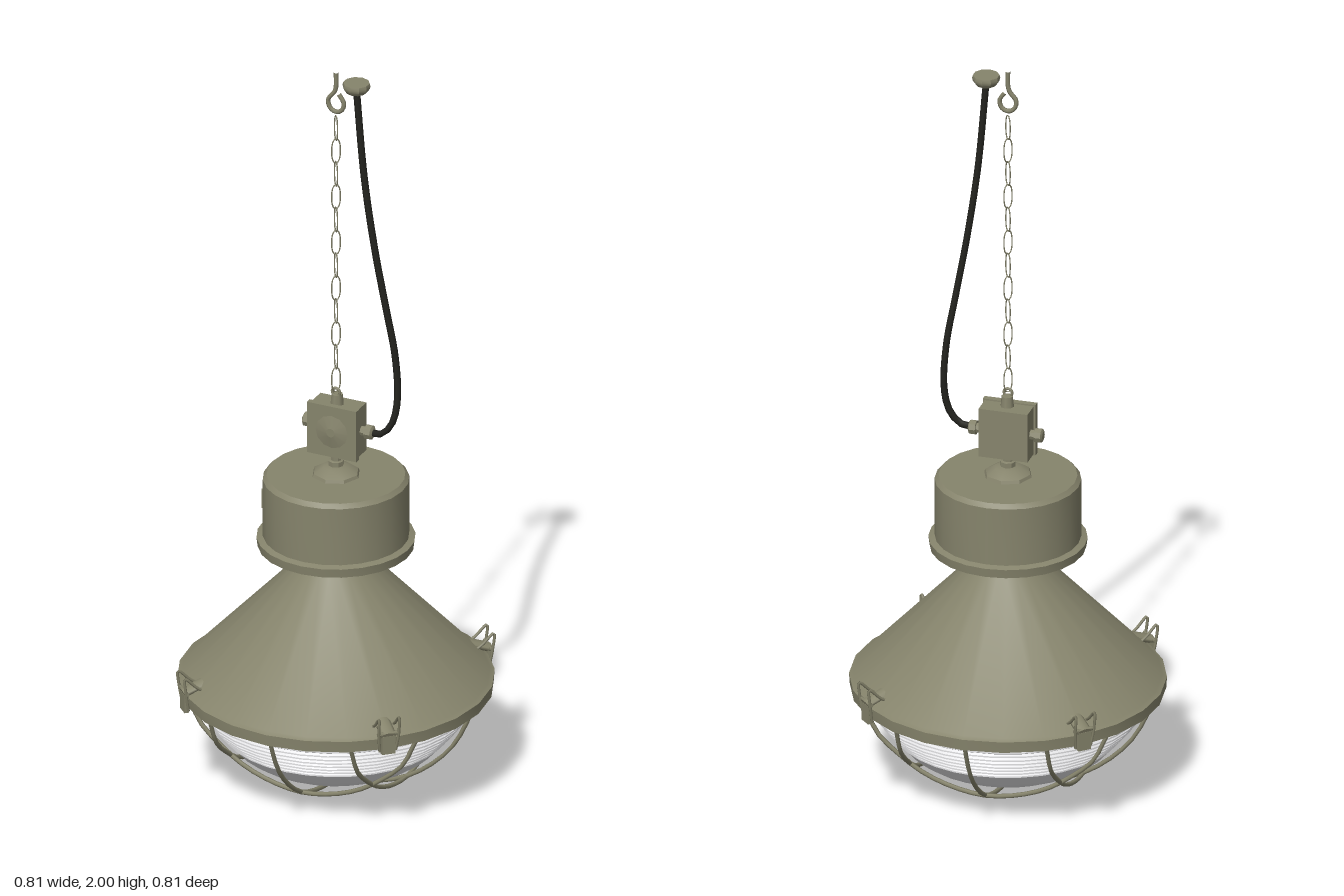
import * as THREE from 'three';
import { toCreasedNormals, mergeGeometries } from 'three/addons/utils/BufferGeometryUtils.js';

const V = (x, y, z) => new THREE.Vector3(x, y, z);

export function createModel() {
  const root = new THREE.Group();
  const mat = (name, color, side = THREE.FrontSide) => {
    const m = new THREE.MeshStandardMaterial({ color, side });
    m.name = name;
    return m;
  };
  const olive = mat('olive paint', 0x86846c);
  const oliveShell = olive.clone();
  oliveShell.side = THREE.DoubleSide;
  const glass = mat('frosted glass', 0xe4e4e6, THREE.DoubleSide);
  const black = mat('black rubber', 0x24241f);

  const add = (name, geo, material, parent = root, pos = [0, 0, 0]) => {
    const mesh = new THREE.Mesh(geo, material);
    mesh.name = name;
    mesh.position.set(...pos);
    parent.add(mesh);
    return mesh;
  };
  // Turned part from [radius, height] pairs, with sharp profile corners
  const turned = (pts, sides) => toCreasedNormals(
    new THREE.LatheGeometry(pts.map(p => new THREE.Vector2(...p)), sides), 0.5);
  const wire = (pts, r, sides = 6, closed = false, seg = 24) =>
    new THREE.TubeGeometry(new THREE.CatmullRomCurve3(pts, closed, 'centripetal'), seg, r, sides, closed);
  const box = (w, h, d) => new THREE.BoxGeometry(w, h, d);

  // Conical shade with neck and rim band
  add('shade', turned([
    [0.365, 0.272], [0.403, 0.272], [0.405, 0.302], [0.393, 0.308],
    [0.1, 0.618], [0.095, 0.625], [0.095, 0.69],
  ], 24), oliveShell);

  // Gear housing with flange and recessed underside
  add('gearHousing', turned([
    [0.09, 0.685], [0.135, 0.685], [0.135, 0.675], [0.155, 0.675], [0.155, 0.685],
    [0.175, 0.685], [0.175, 0.668], [0.2, 0.668], [0.203, 0.692], [0.187, 0.697],
    [0.187, 0.855], [0.177, 0.866], [0, 0.866],
  ], 24), oliveShell);
  const tag = add('housingLatch', box(0.012, 0.05, 0.008), olive, root, [-0.164, 0.8, 0.088]);
  tag.rotation.y = -1.07;

  // Swivel foot and stem under the junction box
  add('swivelFoot', turned([
    [0.064, 0.864], [0.06, 0.874], [0.034, 0.89], [0.02, 0.892], [0.02, 0.905],
    [0.014, 0.907], [0.014, 0.93], [0, 0.93],
  ], 8), olive);

  // Junction box with lid, dished cover and cable glands
  const junction = new THREE.Group();
  junction.name = 'junctionBox';
  junction.position.set(0, 0.995, -0.006);
  root.add(junction);
  add('boxBody', box(0.13, 0.134, 0.056), olive, junction, [0, 0, -0.01]);
  add('boxLid', box(0.14, 0.142, 0.016), olive, junction, [0, 0, 0.024]);
  const dish = add('lidDish', new THREE.CylinderGeometry(0.012, 0.05, 0.008, 12), olive, junction, [0, 0, 0.035]);
  dish.rotation.x = Math.PI / 2;
  for (const s of [-1, 1]) {
    const gland = add('cableGland', turned([
      [0.013, 0], [0.013, 0.015], [0.019, 0.015], [0.019, 0.032], [0.012, 0.036], [0, 0.036],
    ], 8), olive, junction, [s * 0.063, 0, -0.01]);
    gland.rotation.z = -s * Math.PI / 2;
  }
  add('topFitting', new THREE.CylinderGeometry(0.015, 0.018, 0.03, 8), olive, junction, [0, 0.08, 0]);
  add('topEye', new THREE.TorusGeometry(0.011, 0.004, 6, 12), olive, junction, [0, 0.102, 0.006]);

  // Suspension chain: slim links turned alternately by a quarter
  const chain = new THREE.Group();
  chain.name = 'chain';
  root.add(chain);
  const links = 12, from = 1.1, to = 1.875, pitch = (to - from) / links;
  for (let i = 0; i < links; i++) {
    const h = pitch / 2 + 0.003, w = 0.009;
    const link = add('chainLink', wire([
      V(w, -h * 0.7, 0), V(w, h * 0.7, 0), V(0, h, 0), V(-w, h * 0.7, 0), V(-w, -h * 0.7, 0), V(0, -h, 0),
    ], 0.0018, 4, true, 18), olive, chain, [0, from + pitch * (i + 0.5), 0]);
    link.rotation.y = Math.PI / 4 + (i % 2) * Math.PI / 2;
  }

  // Ceiling hook
  add('ceilingHook', wire([
    V(0, 2, 0), V(0, 1.96, 0), V(-0.004, 1.945, 0), V(-0.022, 1.92, 0), V(-0.016, 1.897, 0),
    V(0, 1.889, 0), V(0.017, 1.897, 0), V(0.022, 1.918, 0), V(0.008, 1.94, 0),
  ], 0.006), olive);

  // Ceiling rose and power cable
  add('ceilingRose', turned([
    [0, 1.957], [0.026, 1.957], [0.034, 1.967], [0.036, 1.975], [0.034, 1.983], [0, 1.983],
  ], 10), olive, root, [0.058, 0, 0]);
  add('powerCable', wire([
    V(0.095, 0.995, -0.014), V(0.125, 1.0, -0.012), V(0.152, 1.035, -0.015), V(0.164, 1.1, -0.02),
    V(0.158, 1.22, -0.02), V(0.135, 1.36, -0.012), V(0.108, 1.52, -0.004), V(0.08, 1.72, 0), V(0.058, 1.962, 0),
  ], 0.009, 6, false, 40), black);

  // Glass bowl: smooth bottom, ribbed sides
  const bowl = [[0, 0.036], [0.06, 0.039], [0.12, 0.05], [0.18, 0.069], [0.23, 0.094], [0.26, 0.115], [0.287, 0.145]];
  const ribs = 9;
  for (let i = 0; i < ribs; i++) {
    const t = i / ribs, r = 0.287 + 0.073 * Math.sin(t * Math.PI / 2), y = 0.147 + t * 0.128;
    bowl.push([r + 0.005, y + 0.002], [r + 0.005, y + 0.006], [r + 0.001, y + 0.011]);
  }
  bowl.push([0.37, 0.276]);
  add('glassBowl', turned(bowl, 32), glass);

  // Wire cage: three bars each way, following one bowl profile
  const prof = [[0, 0.007], [0.1, 0.02], [0.2, 0.053], [0.28, 0.11], [0.35, 0.19], [0.386, 0.28]];
  const cageY = r => {
    let i = 1;
    while (i < prof.length - 1 && r > prof[i][0]) i++;
    const [a, b] = [prof[i - 1], prof[i]];
    return a[1] + (b[1] - a[1]) * (r - a[0]) / (b[0] - a[0]);
  };
  const cage = new THREE.Group();
  cage.name = 'wireCage';
  root.add(cage);
  for (const turn of [0, Math.PI / 2]) {
    for (const off of [-0.2, 0, 0.2]) {
      const half = Math.sqrt(0.386 ** 2 - off * off), pts = [];
      for (let i = 0; i <= 12; i++) {
        const x = half * Math.sin((i / 12 - 0.5) * Math.PI);
        pts.push(V(x, cageY(Math.hypot(x, off)), off));
      }
      add('cageBar', wire(pts, 0.006, 6, false, 24), olive, cage).rotation.y = turn;
    }
  }
  const ring = add('cageRing', new THREE.TorusGeometry(0.384, 0.007, 6, 24), olive, cage, [0, 0.271, 0]);
  ring.rotation.x = Math.PI / 2;

  // Four toggle clips on the diagonals
  for (let k = 0; k < 4; k++) {
    const clip = new THREE.Group();
    clip.name = 'toggleClip';
    clip.rotation.y = Math.PI / 4 + k * Math.PI / 2;
    root.add(clip);
    const lever = add('clipLever', new THREE.CylinderGeometry(0.021, 0.021, 0.075, 10), olive, clip, [0, 0.325, 0.378]);
    lever.scale.z = 0.5;
    lever.rotation.x = Math.PI / 2 + 0.35;
    add('clipCatch', box(0.036, 0.05, 0.012), olive, clip, [0, 0.287, 0.408]);
    const pin = add('clipPin', new THREE.CylinderGeometry(0.005, 0.005, 0.06, 6), olive, clip, [0, 0.318, 0.41]);
    pin.rotation.z = Math.PI / 2;
    // Side wires rise from the catch and fold back to the shade
    const sides = [-0.027, 0.027].map(x => wire(
      [V(x * 0.8, 0.268, 0.405), V(x, 0.318, 0.413), V(x, 0.362, 0.416), V(x, 0.335, 0.385), V(x, 0.318, 0.36)], 0.004, 5));
    add('clipWires', mergeGeometries(sides), olive, clip);
  }
  return root;
}
